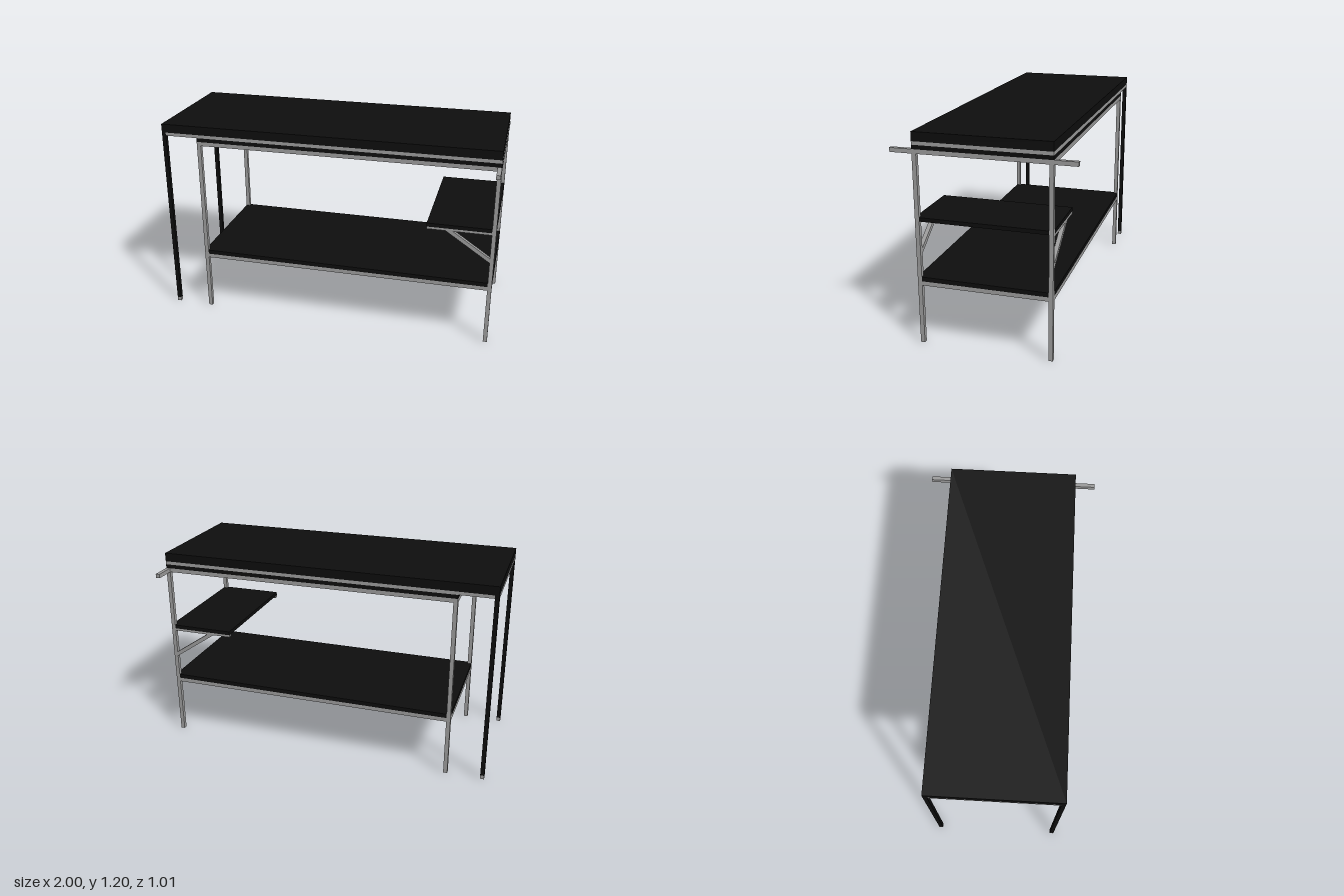
import * as THREE from 'three';

export function createModel() {
  const model = new THREE.Group();
  model.name = 'workbench';
  const black = new THREE.MeshStandardMaterial({ color: 0x0d0d0d });
  black.name = 'black board';
  const grey = new THREE.MeshStandardMaterial({ color: 0x999999 });
  grey.name = 'grey steel';

  const T = 0.024;             // tube thickness
  const X0 = -0.78, X1 = 1;    // ends of the main frame
  const Z = 0.38;              // half depth

  // Box given by its lower and upper corners
  function box(name, mat, [ax, ay, az], [bx, by, bz]) {
    const mesh = new THREE.Mesh(new THREE.BoxGeometry(bx - ax, by - ay, bz - az), mat);
    mesh.position.set((ax + bx) / 2, (ay + by) / 2, (az + bz) / 2);
    mesh.name = name;
    model.add(mesh);
    return mesh;
  }

  // Board with corners notched around the legs
  function board(name, ax, bx, y, h, notchLeft) {
    const n = notchLeft ? T : 0;
    const pts = [[ax + n, -Z], [bx - T, -Z], [bx - T, T - Z], [bx, T - Z],
      [bx, Z - T], [bx - T, Z - T], [bx - T, Z], [ax + n, Z]];
    if (notchLeft) pts.push([ax + n, Z - T], [ax, Z - T], [ax, T - Z], [ax + n, T - Z]);
    const shape = new THREE.Shape(pts.map(([x, z]) => new THREE.Vector2(x, z)));
    const geo = new THREE.ExtrudeGeometry(shape, { depth: h, bevelEnabled: false });
    geo.rotateX(-Math.PI / 2);
    const mesh = new THREE.Mesh(geo, black);
    mesh.position.y = y;
    mesh.name = name;
    model.add(mesh);
  }

  // Rectangular tube frame; the right cross tube may stick out as a handle
  function frame(name, ax, bx, y, h, rightHalf = Z - T) {
    for (const s of [-1, 1]) {
      const zc = s * (Z - T / 2);
      box(name + 'SideTube', grey, [ax + T, y, zc - T / 2], [bx - T, y + h, zc + T / 2]);
    }
    box(name + 'LeftTube', grey, [ax, y, T - Z], [ax + T, y + h, Z - T]);
    box(name + 'RightTube', grey, [bx - T, y, -rightHalf], [bx, y + h, rightHalf]);
  }

  // Worktop, its frame and the board below
  box('worktop', black, [-1, 1.149, -Z], [1, 1.2, Z]);
  frame('worktopFrame', -1, 1, 1.13, 0.019, Z);
  box('underBoard', black, [X0, 1.107, -Z], [X1, 1.13, Z]);
  frame('upperFrame', X0, X1, 1.083, T, 0.505);

  // Lower shelf
  frame('lowerShelfFrame', X0, X1, 0.346, T);
  board('lowerShelf', X0, X1, 0.37, 0.025, true);

  // Small raised shelf
  board('smallShelf', 0.606, X1, 0.714, 0.022, false);

  for (const s of [-1, 1]) {
    const zc = s * (Z - T / 2), za = zc - T / 2, zb = zc + T / 2;
    // Main legs
    box('leftLeg', grey, [X0, 0, za], [X0 + T, 1.107, zb]);
    box('rightLeg', grey, [X1 - T, 0, za], [X1, 1.083, zb]);
    // Outer legs with feet
    box('outerLeg', black, [-1, T, za], [T - 1, 1.149, zb]);
    box('outerFoot', grey, [-1, 0, za], [T - 1, T, zb]);
    // Small shelf arm and slanted brace
    box('shelfArm', grey, [0.606, 0.7, za], [X1 - T, 0.714, zb]);
    const brace = new THREE.Shape([[0.715, 0.7], [0.976, 0.525], [0.976, 0.553], [0.757, 0.7]]
      .map(([x, y]) => new THREE.Vector2(x, y)));
    const mesh = new THREE.Mesh(new THREE.ExtrudeGeometry(brace, { depth: T, bevelEnabled: false }), grey);
    mesh.position.z = za;
    mesh.name = 'shelfBrace';
    model.add(mesh);
  }
  return model;
}
